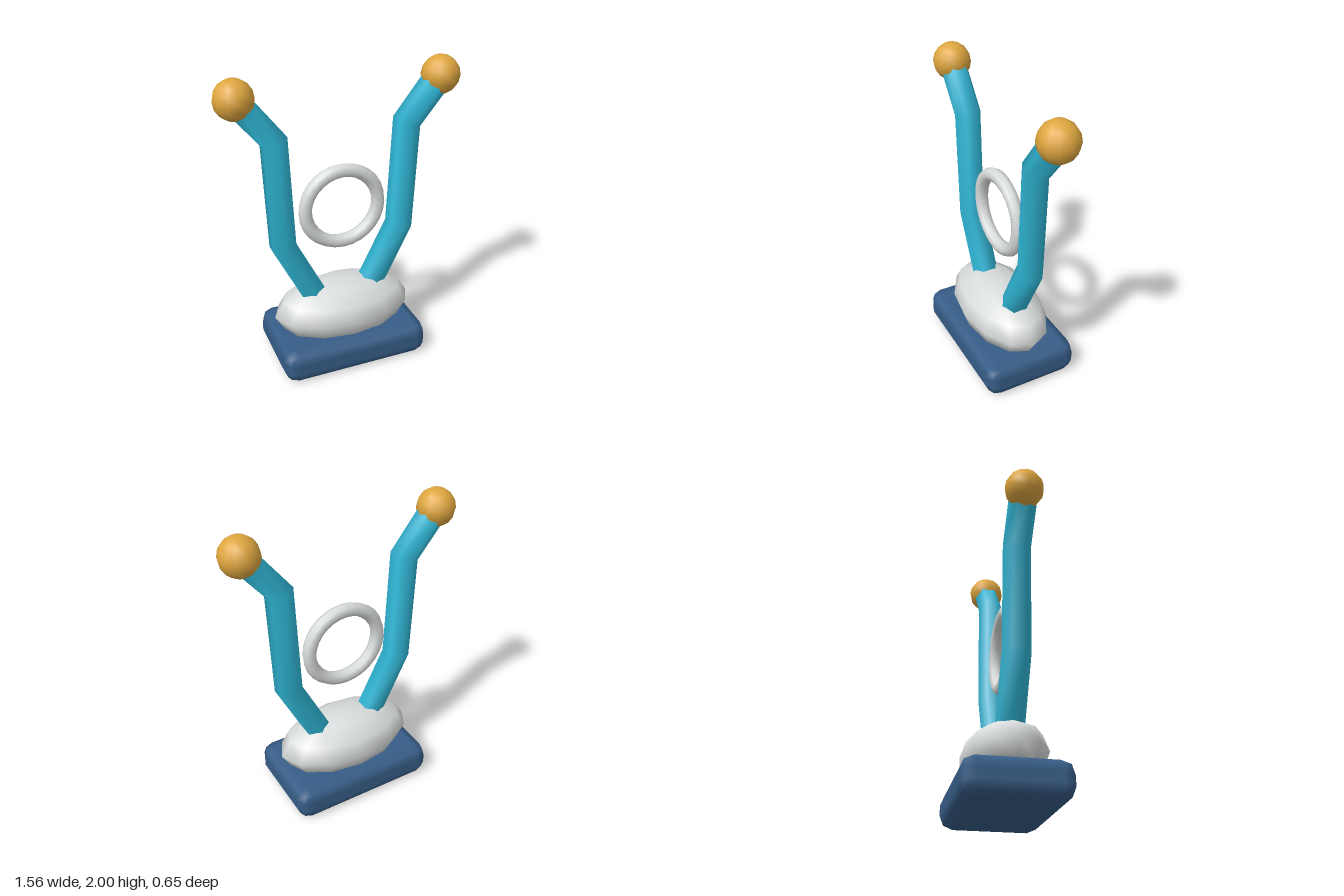
import * as THREE from 'three';
import { mergeVertices } from 'three/addons/utils/BufferGeometryUtils.js';
import { RoundedBoxGeometry } from 'three/addons/geometries/RoundedBoxGeometry.js';

function material(name, color) {
  const m = new THREE.MeshStandardMaterial({ color });
  m.name = name;
  return m;
}

// Six-sided tube with one ring per path point, bent in the XY plane
function bentTube(path, radius) {
  const rows = path.length - 1;
  let geo = new THREE.CylinderGeometry(radius, radius, rows, 6, rows, true);
  const dirs = path.slice(1).map((p, i) => p.clone().sub(path[i]).normalize());
  const pos = geo.attributes.position;
  for (let i = 0; i < pos.count; i++) {
    const k = Math.round(pos.getY(i) + rows / 2);
    const t = dirs[Math.max(k - 1, 0)].clone().add(dirs[Math.min(k, rows - 1)]).normalize();
    const x = pos.getX(i);
    pos.setXY(i, path[k].x + t.y * x, path[k].y - t.x * x);
  }
  geo.deleteAttribute('uv');
  geo.deleteAttribute('normal');
  geo = mergeVertices(geo);
  geo.computeVertexNormals();
  return geo;
}

export function createModel() {
  const model = new THREE.Group();
  model.name = 'trophyStand';
  const navy = material('navy', 0x365d87);
  const teal = material('teal', 0x2fb5d4);
  const gold = material('gold', 0xdea640);
  const silver = material('silver', 0xd9dcdc);

  function add(name, geometry, mat, x, y) {
    const mesh = new THREE.Mesh(geometry, mat);
    mesh.name = name;
    mesh.position.set(x, y, 0);
    model.add(mesh);
    return mesh;
  }

  // Chamfered base slab and the flattened dome on it
  add('base', new RoundedBoxGeometry(1.01, 0.235, 0.65, 1, 0.085), navy, 0, 0.1175);
  add('dome', new THREE.SphereGeometry(1, 12, 6), silver, 0, 0.34).scale.set(0.48, 0.21, 0.267);

  // Floating ring between the arms
  add('ring', new THREE.TorusGeometry(0.25, 0.045, 8, 28), silver, 0, 1.085);

  // Bent arms with ball tips
  for (const [label, s] of [['left', 1], ['right', -1]]) {
    const path = [[0.18, 0.43], [0.405, 0.885], [0.435, 1.6], [0.655, 1.877]]
      .map(([x, y]) => new THREE.Vector2(s * x, y));
    add(label + 'Arm', bentTube(path, 0.09), teal, 0, 0);
    add(label + 'Ball', new THREE.SphereGeometry(0.123, 12, 8), gold, s * 0.655, 1.877);
  }
  return model;
}
